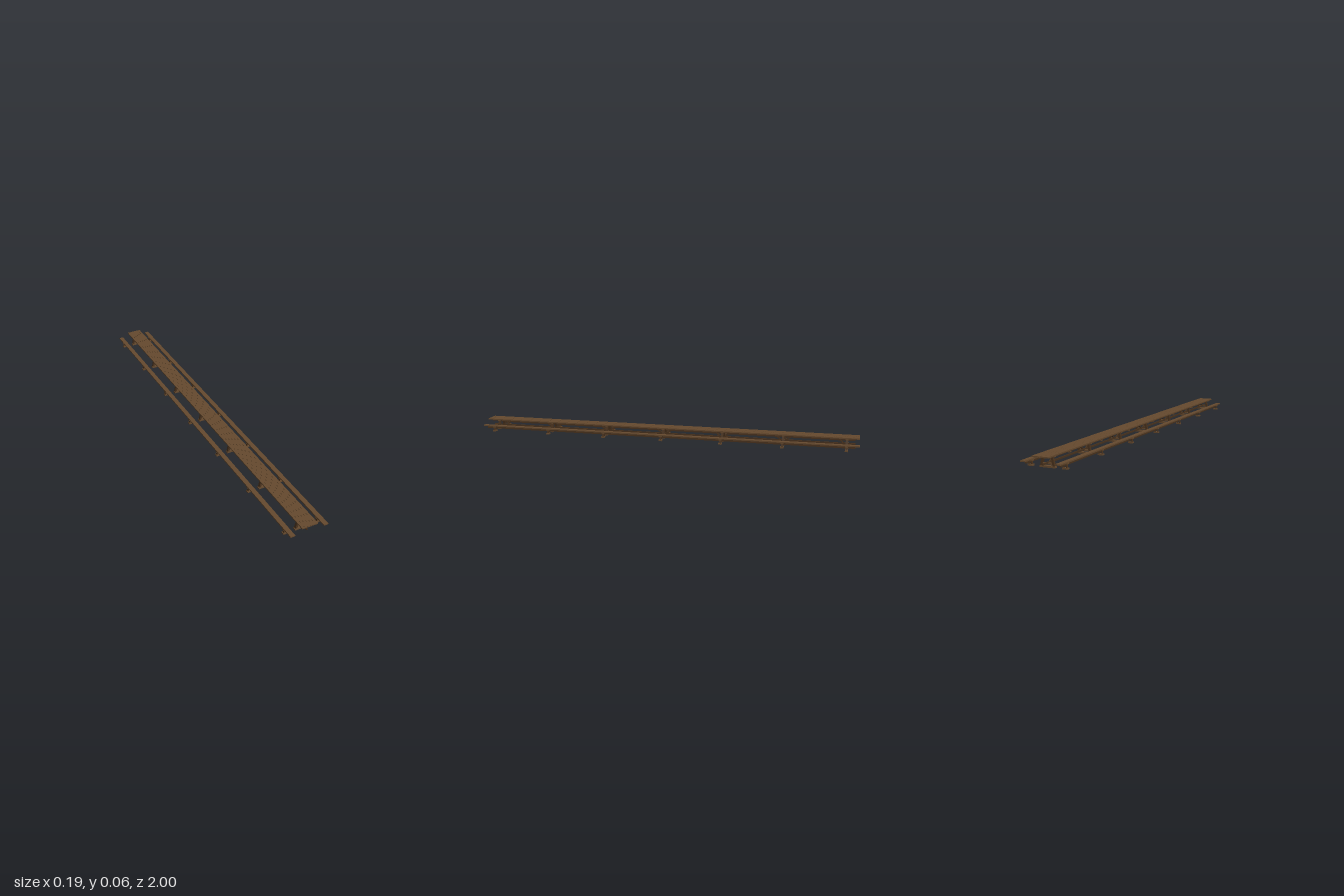
import * as THREE from 'three';

const wood = new THREE.MeshStandardMaterial({ color: 0x664a2e });
wood.name = 'oak brown';
const dark = new THREE.MeshStandardMaterial({ color: 0x49321d });
dark.name = 'dark oak';

function box(parent, name, size, pos, mat) {
  const mesh = new THREE.Mesh(new THREE.BoxGeometry(...size), mat);
  mesh.name = name;
  mesh.position.set(...pos);
  parent.add(mesh);
  return mesh;
}

// Sloping timber with level ends: a box sheared along x or z
function slant(parent, name, axis, from, to, y0, y1, width, depth, mat) {
  const g = new THREE.BoxGeometry(width, y1 - y0, depth);
  const p = g.attributes.position;
  for (let i = 0; i < p.count; i++) {
    const shift = from + (to - from) * (p.getY(i) / (y1 - y0) + 0.5);
    if (axis === 'x') p.setX(i, p.getX(i) + shift);
    else p.setZ(i, p.getZ(i) + shift);
  }
  g.computeVertexNormals();
  const mesh = new THREE.Mesh(g, mat);
  mesh.name = name;
  mesh.position.y = (y0 + y1) / 2;
  parent.add(mesh);
}

function group(parent, name, x = 0, z = 0) {
  const g = new THREE.Group();
  g.name = name;
  g.position.set(x, 0, z);
  parent.add(g);
  return g;
}

const STATIONS = [-3, -2, -1, 0, 1, 2, 3];
const SPACING = 0.3127;

function tableTrestle(parent, i) {
  const t = group(parent, 'tableTrestle', 0, i * SPACING);
  box(t, 'foot', [0.075, 0.008, 0.016], [0, 0.004, 0], wood);
  box(t, 'topCleat', [0.072, 0.005, 0.014], [0, 0.0495, 0], wood);
  box(t, 'crossBar', [0.052, 0.007, 0.008], [0, 0.0165, 0], wood);
  for (const s of [-1, 1]) {
    slant(t, 'leg', 'x', s * 0.030, s * 0.022, 0.008, 0.047, 0.010, 0.012, dark);
    // Diagonal braces, only inward on the end trestles
    if (i * s < 3) slant(t, 'brace', 'z', s * 0.008, s * 0.058, 0.020, 0.052, 0.005, 0.010, dark);
  }
}

function benchTrestle(parent, i) {
  const t = group(parent, 'benchTrestle', 0, i * SPACING);
  box(t, 'foot', [0.025, 0.007, 0.016], [0, 0.0035, 0], wood);
  box(t, 'topCleat', [0.025, 0.005, 0.014], [0, 0.0245, 0], wood);
  for (const s of [-1, 1])
    slant(t, 'leg', 'x', s * 0.0075, s * 0.005, 0.007, 0.022, 0.004, 0.010, dark);
}

export function createModel() {
  const model = new THREE.Group();
  model.name = 'longTableWithBenches';

  // Table top: long planks with fine seams
  const table = group(model, 'table');
  const planks = 6, pitch = 0.08 / planks;
  for (let k = 0; k < planks; k++)
    box(table, 'topPlank', [pitch - 0.0005, 0.006, 2], [(k - (planks - 1) / 2) * pitch, 0.055, 0], wood);
  for (const s of [-1, 1])
    box(table, 'topRail', [0.005, 0.004, 1.96], [s * 0.032, 0.050, 0], dark);
  box(table, 'stretcher', [0.006, 0.008, 1.96], [0, 0.020, 0], dark);
  STATIONS.forEach((i) => tableTrestle(table, i));

  // A bench on each side
  for (const s of [-1, 1]) {
    const bench = group(model, s > 0 ? 'leftBench' : 'rightBench', s * 0.0845);
    box(bench, 'seatPlank', [0.023, 0.006, 2], [0, 0.030, 0], wood);
    box(bench, 'stretcher', [0.004, 0.010, 1.96], [0, 0.021, 0], dark);
    STATIONS.forEach((i) => benchTrestle(bench, i));
  }
  return model;
}
